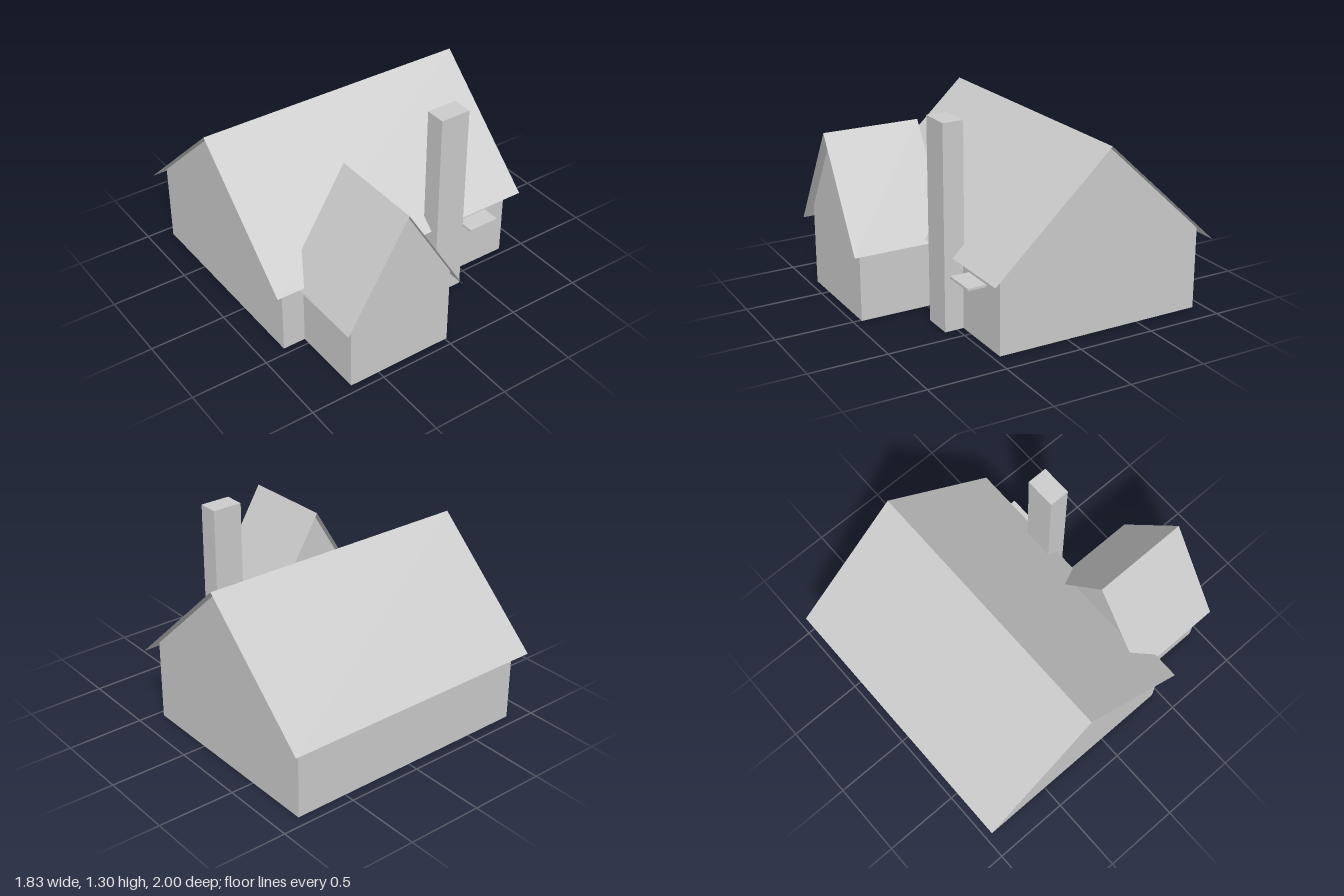
import * as THREE from 'three';

const stone = new THREE.MeshStandardMaterial({ color: 0xcccccc, side: THREE.DoubleSide });
stone.name = 'pale grey';

// Flat convex polygons, each a list of [x, y, z] corners in outward order
function facesMesh(name, faces) {
  const pos = [];
  for (const f of faces) {
    for (let i = 1; i < f.length - 1; i++) pos.push(...f[0], ...f[i], ...f[i + 1]);
  }
  const geo = new THREE.BufferGeometry();
  geo.setAttribute('position', new THREE.Float32BufferAttribute(pos, 3));
  geo.computeVertexNormals();
  const mesh = new THREE.Mesh(geo, stone);
  mesh.name = name;
  return mesh;
}

// Gabled shell, open below, ridge along local z: walls plus a thin overhanging roof
function gabledBlock(name, { half, eave, ridge, back, front, roofHalf, roofBack, roofFront }) {
  const group = new THREE.Group();
  group.name = name;
  const outline = [[-half, 0], [half, 0], [half, eave], [0, ridge], [-half, eave]];
  const gable = z => outline.map(([x, y]) => [x, y, z]);
  group.add(facesMesh(name + 'Walls', [
    gable(front),
    gable(back).reverse(),
    [[half, 0, front], [half, 0, back], [half, eave, back], [half, eave, front]],
    [[-half, 0, back], [-half, 0, front], [-half, eave, front], [-half, eave, back]],
  ]));
  // The roof carries the gable slope on past the walls
  const low = ridge - (ridge - eave) * roofHalf / half;
  const top = ridge + 0.001, edge = low + 0.001;
  group.add(facesMesh(name + 'Roof', [
    [[roofHalf, edge, roofFront], [roofHalf, edge, roofBack], [0, top, roofBack], [0, top, roofFront]],
    [[-roofHalf, edge, roofBack], [-roofHalf, edge, roofFront], [0, top, roofFront], [0, top, roofBack]],
  ]));
  return group;
}

// Box from its minimum and maximum corners
function box(name, [x0, y0, z0], [x1, y1, z1], openBelow = false) {
  let geo = new THREE.BoxGeometry(x1 - x0, y1 - y0, z1 - z0);
  if (openBelow) {
    const index = Array.from(geo.index.array);
    index.splice(18, 6); // drop the bottom face
    geo.setIndex(index);
    geo.clearGroups();
  }
  geo.translate((x0 + x1) / 2, (y0 + y1) / 2, (z0 + z1) / 2);
  const mesh = new THREE.Mesh(geo, stone);
  mesh.name = name;
  return mesh;
}

export function createModel() {
  const model = new THREE.Group();
  model.name = 'cottage';

  // Main house, ridge running left to right
  const house = gabledBlock('mainHouse', {
    half: 0.693, eave: 0.53, ridge: 1.174,
    back: -0.847, front: 0.847,
    roofHalf: 0.763, roofBack: -0.917, roofFront: 0.917,
  });
  house.rotation.y = Math.PI / 2;
  house.position.z = -0.237;
  model.add(house);

  // Front wing, ridge running front to back
  const wing = gabledBlock('frontWing', {
    half: 0.354, eave: 0.527, ridge: 1.109,
    back: 0.43, front: 0.947,
    roofHalf: 0.408, roofBack: 0.37, roofFront: 1,
  });
  wing.position.x = -0.343;
  model.add(wing);

  // Chimney and the small canopy on the front wall
  model.add(box('chimney', [0.205, 0, 0.447], [0.407, 1.3, 0.58], true));
  model.add(box('canopy', [0.477, 0.375, 0.456], [0.692, 0.39, 0.58]));

  return model;
}
